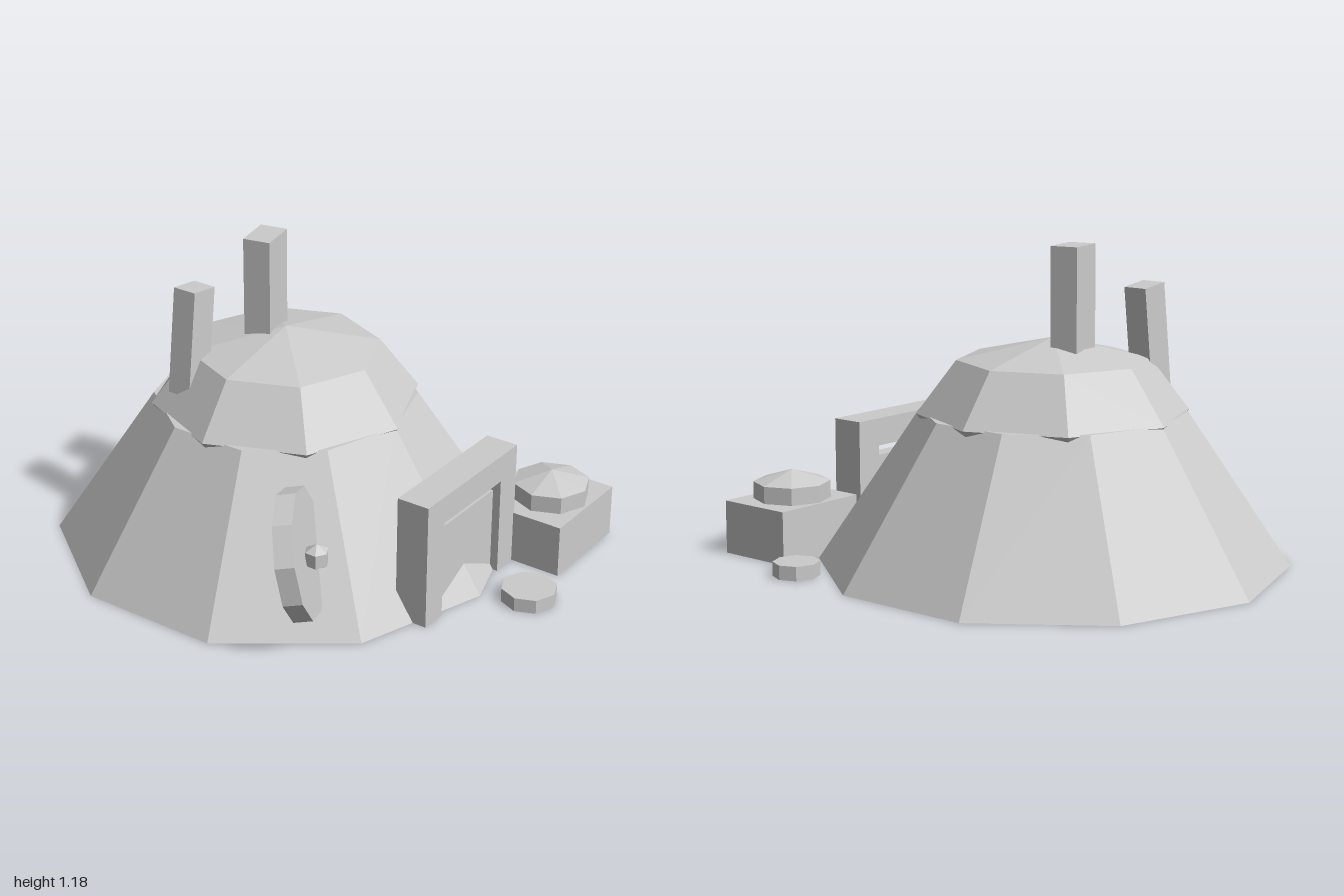
import * as THREE from 'three';

const material = new THREE.MeshStandardMaterial({ color: 0xcccccc, flatShading: true });

export function createModel() {
  const model = new THREE.Group();
  model.name = 'hut';

  function add(name, geometry, x, y, z) {
    const mesh = new THREE.Mesh(geometry, material);
    mesh.name = name;
    mesh.position.set(x, y, z);
    model.add(mesh);
    return mesh;
  }

  // Box given by its limits on each axis
  function addBox(name, x0, x1, y0, y1, z0, z1) {
    return add(name, new THREE.BoxGeometry(x1 - x0, y1 - y0, z1 - z0),
      (x0 + x1) / 2, (y0 + y1) / 2, (z0 + z1) / 2);
  }

  // Ten-sided sloping wall and eight-sided squashed dome
  add('wall', new THREE.CylinderGeometry(0.49, 0.87, 0.57, 10), 0, 0.285, -0.13);
  add('domeRoof', new THREE.SphereGeometry(0.5, 8, 4).scale(1, 0.55, 1), 0, 0.565, -0.13);

  // Straight and leaning chimneys
  const tall = addBox('tallChimney', -0.075, 0.075, 0.66, 1.18, -0.272, -0.168);
  tall.rotation.y = 0.21;
  const leaning = add('leaningChimney', new THREE.BoxGeometry(0.115, 0.4, 0.095), -0.271, 0.825, -0.353);
  leaning.rotation.z = -0.12;

  // Door frame with an opening, and the recessed door
  const frame = new THREE.Shape([
    [-0.295, 0], [-0.19, 0], [-0.19, 0.375], [0.185, 0.375],
    [0.185, 0], [0.29, 0], [0.29, 0.48], [-0.295, 0.48],
  ].map(([x, y]) => new THREE.Vector2(x, y)));
  add('doorFrame', new THREE.ExtrudeGeometry(frame, { depth: 0.127, bevelEnabled: false }), 0, 0, 0.571);
  addBox('door', -0.19, 0.185, 0, 0.33, 0.6, 0.667);

  // Crate with a domed lid
  addBox('crate', 0.285, 0.675, 0, 0.2, 0.592, 0.896);
  add('lidRim', new THREE.CylinderGeometry(0.144, 0.144, 0.065, 8), 0.48, 0.2325, 0.742);
  add('lidTop', new THREE.ConeGeometry(0.144, 0.045, 8), 0.48, 0.2875, 0.742);

  // Stepping stones
  for (const [x, z, r] of [[0.74, 0.458, 0.086], [0.086, 0.893, 0.103]]) {
    add('steppingStone', new THREE.CylinderGeometry(r, r, 0.053, 8), x, 0.0265, z);
  }

  // Round shield leaning against the wall, with its boss
  const shield = add('shield', new THREE.CylinderGeometry(0.235, 0.235, 0.07, 10), -0.594, 0.329, 0.365);
  shield.rotation.set(Math.PI / 2 - 0.19, 0.48, 0, 'YXZ');
  const boss = add('shieldBoss', new THREE.SphereGeometry(0.05, 6, 3), -0.593, 0.343, 0.44);
  boss.rotation.y = Math.PI / 6;

  return model;
}
